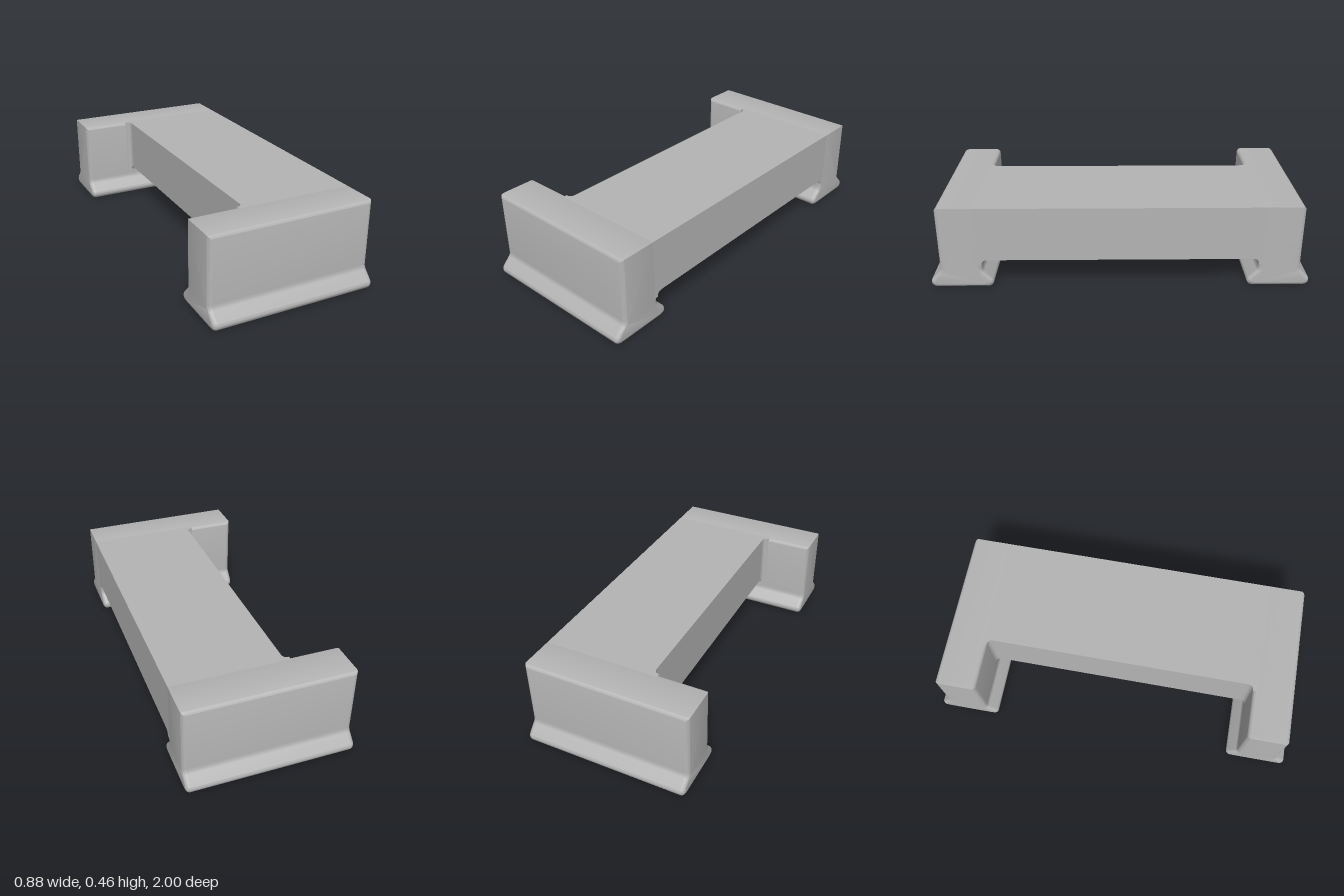
import * as THREE from 'three';
import { toCreasedNormals } from 'three/addons/utils/BufferGeometryUtils.js';

const H = 0.456, HALF = 0.44;      // height, half width
const R = 0.022;                   // edge rounding
const OUT = 0.945, IN = 0.725;     // leg wall planes
const MID = (OUT + IN) / 2;
const UNDER = 0.162;               // underside of the bridge
const BRIDGE_X = -0.15;            // open side of the bridge

// Leg cross-section in (z, y): flared rounded foot, straight neck, rounded top
function legProfile() {
  const s = new THREE.Shape(), lip = 0.028;
  s.moveTo(0.698, 0);
  s.lineTo(0.972, 0);
  s.absarc(0.972, lip, lip, -Math.PI / 2, Math.PI / 4, false);
  s.lineTo(0.957, 0.083);
  s.quadraticCurveTo(OUT, 0.095, OUT, 0.112);
  s.absarc(OUT - R, H - R, R, 0, Math.PI / 2, false);
  s.absarc(IN + R, H - R, R, Math.PI / 2, Math.PI, false);
  s.lineTo(IN, 0.112);
  s.quadraticCurveTo(IN, 0.095, IN - 0.012, 0.083);
  s.absarc(0.698, lip, lip, Math.PI * 0.75, Math.PI * 1.5, false);
  return s;
}

// Extrude the leg and round its wall and foot edges towards both ends
function legGeometry() {
  const n = 8, layers = [];
  for (let i = 0; i <= n; i++) {
    const a = (1 - i / n) * Math.PI / 2;
    layers.push([-HALF + R * (1 - Math.sin(a)), R * (1 - Math.cos(a))]);
  }
  for (let i = n; i >= 0; i--) layers.push([-layers[i][0], layers[i][1]]);
  const steps = layers.length - 1;
  const g = new THREE.ExtrudeGeometry(legProfile(), { depth: 1, steps, curveSegments: 6, bevelEnabled: false });
  const p = g.attributes.position;
  for (let i = 0; i < p.count; i++) {
    const [w, d] = layers[Math.round(p.getZ(i) * steps)];
    const u = p.getX(i), y = p.getY(i);
    const rise = Math.min(R, Math.max(0, y - (H - R)));
    const drop = R - Math.sqrt(R * R - rise * rise);
    // the top stays flat, so wall and top rounding meet in a mitre
    const shift = Math.max(0, d - drop) * (u > MID ? -1 : 1);
    p.setXYZ(i, u + shift, y + d * Math.max(0, 1 - y / 0.028), w);
  }
  g.rotateY(-Math.PI / 2);
  return toCreasedNormals(g, 0.6);
}

// Bridge cross-section in (z, y) with filleted lower corners
function bridgeGeometry() {
  const e = IN + R, f = 0.03;
  const s = new THREE.Shape();
  s.moveTo(e, H);
  s.lineTo(-e, H);
  s.lineTo(-e, UNDER - f);
  s.lineTo(-IN, UNDER - f);
  s.quadraticCurveTo(-IN, UNDER, -IN + f, UNDER);
  s.lineTo(IN - f, UNDER);
  s.quadraticCurveTo(IN, UNDER, IN, UNDER - f);
  s.lineTo(e, UNDER - f);
  const g = new THREE.ExtrudeGeometry(s, { depth: HALF - BRIDGE_X, curveSegments: 8, bevelEnabled: false });
  g.rotateY(-Math.PI / 2);
  g.translate(HALF, 0, 0);
  return toCreasedNormals(g, 0.6);
}

// Upright fillet where the bridge side meets a leg
function filletGeometry(side) {
  const f = 0.03, s = new THREE.Shape();
  s.moveTo(BRIDGE_X, -side * (IN + R));
  s.lineTo(BRIDGE_X - f, -side * (IN + R));
  s.lineTo(BRIDGE_X - f, -side * IN);
  s.quadraticCurveTo(BRIDGE_X, -side * IN, BRIDGE_X, -side * (IN - f));
  const g = new THREE.ExtrudeGeometry(s, { depth: H - UNDER, curveSegments: 8, bevelEnabled: false });
  g.rotateX(-Math.PI / 2);
  g.translate(0, UNDER, 0);
  return toCreasedNormals(g, 0.6);
}

export function createModel() {
  const model = new THREE.Group();
  model.name = 'bracket';
  const grey = new THREE.MeshStandardMaterial({ color: 0xb4b4b4 });
  grey.name = 'grey';
  const add = (name, geometry) => {
    const mesh = new THREE.Mesh(geometry, grey);
    mesh.name = name;
    model.add(mesh);
    return mesh;
  };

  add('bridge', bridgeGeometry());
  const leg = legGeometry();
  add('frontLeg', leg);
  add('backLeg', leg).rotation.y = Math.PI;
  add('frontFillet', filletGeometry(1));
  add('backFillet', filletGeometry(-1));
  return model;
}
